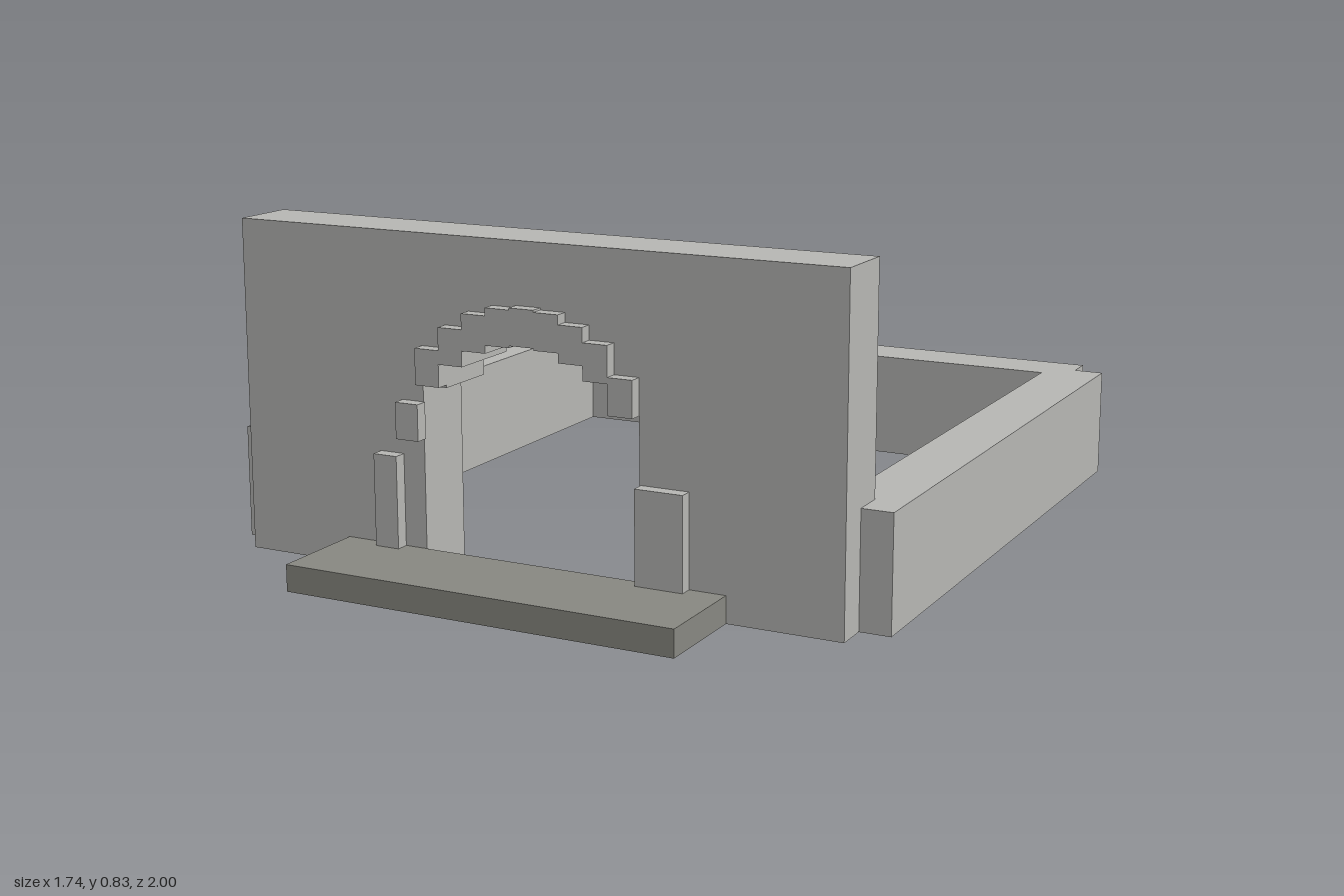
import * as THREE from 'three';

const stone = new THREE.MeshStandardMaterial({ color: 0xb9b9b6 });
stone.name = 'pale stone';
const slab = new THREE.MeshStandardMaterial({ color: 0x8a8a83 });
slab.name = 'dark stone';

// Box given by its minimum and maximum on each axis
function block(name, [x0, x1], [y0, y1], [z0, z1], material = stone) {
  const mesh = new THREE.Mesh(new THREE.BoxGeometry(x1 - x0, y1 - y0, z1 - z0), material);
  mesh.position.set((x0 + x1) / 2, (y0 + y1) / 2, (z0 + z1) / 2);
  mesh.name = name;
  return mesh;
}

// Arch columns: left edge, right edge, underside of the arch
const columns = [
  [-0.285, -0.22, 0.465], [-0.22, -0.156, 0.527], [-0.156, -0.092, 0.565],
  [-0.092, -0.028, 0.584], [-0.028, 0.036, 0.589], [0.036, 0.1, 0.584],
  [0.1, 0.162, 0.561], [0.162, 0.225, 0.526], [0.225, 0.288, 0.453],
];

// Front wall with a stepped doorway cut into its lower edge
function frontWall() {
  const shape = new THREE.Shape();
  shape.moveTo(-0.795, 0);
  shape.lineTo(columns[0][0], 0);
  for (const [x0, x1, y] of columns) {
    shape.lineTo(x0, y);
    shape.lineTo(x1, y);
  }
  shape.lineTo(0.288, 0);
  shape.lineTo(0.79, 0);
  shape.lineTo(0.79, 0.827);
  shape.lineTo(-0.795, 0.827);
  const geometry = new THREE.ExtrudeGeometry(shape, { depth: 0.165, bevelEnabled: false });
  geometry.translate(0, 0, 0.58);
  const mesh = new THREE.Mesh(geometry, stone);
  mesh.name = 'frontWall';
  return mesh;
}

export function createModel() {
  const model = new THREE.Group();
  model.name = 'walledCourtyard';

  // Walls
  model.add(frontWall());
  model.add(block('backWall', [-0.795, 0.79], [0, 0.283], [-1, -0.853]));
  model.add(block('leftWall', [0.715, 0.867], [0, 0.283], [-0.925, 0.662]));
  model.add(block('rightWall', [-0.87, -0.72], [0, 0.283], [-0.925, 0.662]));

  // Door step
  model.add(block('doorStep', [-0.508, 0.505], [0, 0.066], [0.745, 1], slab));

  // Raised stones around the doorway
  const trimZ = [0.745, 0.778];
  const trim = new THREE.Group();
  trim.name = 'doorTrim';
  columns.forEach(([x0, x1, y], i) => {
    const low = i === 0 ? y + 0.007 : y;
    trim.add(block('archStone' + (i + 1), [x0, x1], [low, low + 0.088], trimZ));
  });
  trim.add(block('looseArchStone', [-0.343, -0.281], [0.336, 0.425], trimZ));
  trim.add(block('rightPillar', [-0.408, -0.344], [0.066, 0.293], trimZ));
  trim.add(block('leftPillar', [0.292, 0.413], [0.066, 0.293], trimZ));
  model.add(trim);

  return model;
}
